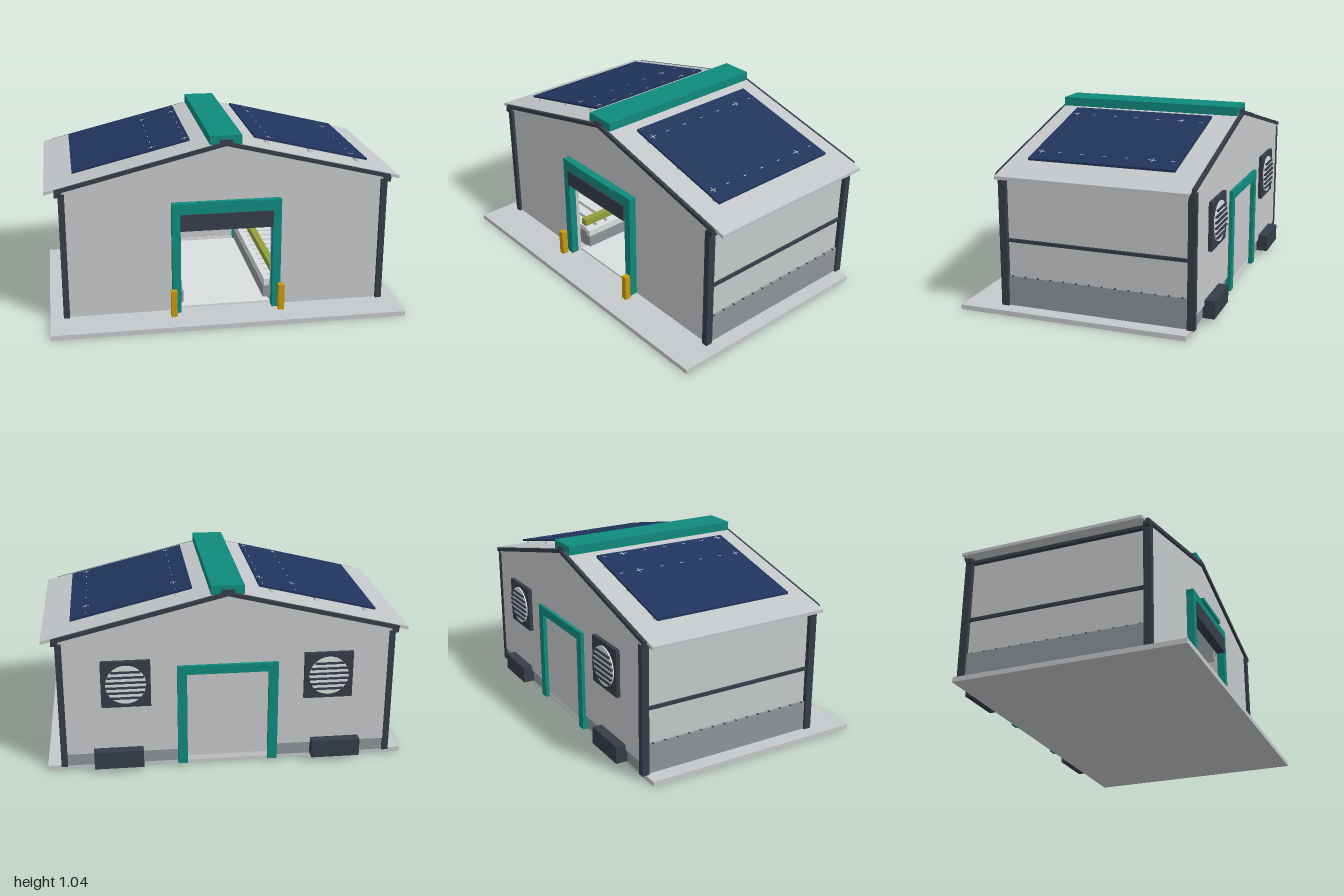
import * as THREE from 'three';

const paint = (name, color, side = THREE.FrontSide) => {
  const m = new THREE.MeshStandardMaterial({ color, side });
  m.name = name;
  return m;
};

export function createModel() {
  const model = new THREE.Group();
  model.name = 'ventilatedShed';
  const wall = paint('wall grey', 0xc6c9cb);
  const roofMat = paint('roof grey', 0xc3c7ca);
  const concrete = paint('concrete', 0x8f9598);
  const dark = paint('dark slate', 0x363d49);
  const teal = paint('teal', 0x0f8a7d);
  const navy = paint('solar navy', 0x20345c);
  const gold = paint('safety gold', 0xcb990d);
  const olive = paint('olive', 0x94a03a);
  const pale = paint('pale grey', 0xdadddf);

  const add = (name, geo, mat) => {
    const mesh = new THREE.Mesh(geo, mat);
    mesh.name = name;
    model.add(mesh);
    return mesh;
  };
  // Box given by its limits on each axis
  const box = (name, mat, x0, x1, y0, y1, z0, z1) => {
    const geo = new THREE.BoxGeometry(Math.abs(x1 - x0), y1 - y0, z1 - z0);
    geo.translate((x0 + x1) / 2, (y0 + y1) / 2, (z0 + z1) / 2);
    return add(name, geo, mat);
  };
  const shapeOf = (pts) => new THREE.Shape(pts.map(([x, y]) => new THREE.Vector2(x, y)));
  const prism = (name, mat, shape, z0, z1) => {
    const geo = new THREE.ExtrudeGeometry(shape, { depth: z1 - z0, bevelEnabled: false });
    geo.translate(0, 0, z0);
    return add(name, geo, mat);
  };
  // Strip that follows the roof pitch, raised by "lift" above the roof skin
  const roofY = (x) => 1.015 - 0.245 * Math.abs(x);
  const pitched = (name, mat, x0, x1, lift, thick, z0, z1) =>
    prism(name, mat, shapeOf([
      [x0, roofY(x0) + lift - thick], [x1, roofY(x1) + lift - thick],
      [x1, roofY(x1) + lift], [x0, roofY(x0) + lift],
    ]), z0, z1);

  // Ground slab
  box('baseSlab', wall, -1, 1, 0, 0.027, -0.605, 0.68);
  box('innerFloor', pale, -0.26, 0.26, 0.027, 0.038, -0.6, 0.43);

  // Gable walls, each with a doorway
  const gable = (name, halfDoor, doorTop, bottom, z0, z1) =>
    prism(name, wall, shapeOf([
      [-0.905, bottom], [-halfDoor, bottom], [-halfDoor, doorTop], [halfDoor, doorTop],
      [halfDoor, bottom], [0.905, bottom], [0.905, roofY(0.905) - 0.015],
      [0, roofY(0) - 0.015], [-0.905, roofY(0.905) - 0.015],
    ]), z0, z1);
  gable('frontWall', 0.262, 0.616, 0.027, 0.43, 0.452);
  gable('backWall', 0.23, 0.56, 0.1, -0.625, -0.6);
  box('backDoor', wall, -0.23, 0.23, 0.055, 0.56, -0.622, -0.605);
  box('backDoorSill', pale, -0.23, 0.23, 0.027, 0.055, -0.622, -0.6);

  // Front door surround
  box('doorHeader', teal, -0.31, 0.31, 0.615, 0.677, 0.44, 0.495);
  box('doorCap', teal, -0.16, 0.16, 0.668, 0.688, 0.49, 0.51);
  box('rollerHousing', dark, -0.262, 0.262, 0.52, 0.615, 0.45, 0.503);
  // Rear door surround
  box('rearDoorHeader', teal, -0.278, 0.278, 0.555, 0.605, -0.645, -0.62);

  // Roof ridge
  box('ridgeCap', teal, -0.09, 0.09, 0.995, 1.045, -0.61, 0.45);
  box('ridgeVent', dark, -0.035, 0.035, 0.99, 1.022, -0.62, 0.462);

  for (const s of [-1, 1]) {
    // Roof slopes, end trims and eaves
    pitched('roofPanel', roofMat, 0, s, 0, 0.018, -0.61, 0.45);
    pitched('frontRakeTrim', dark, 0, s * 0.945, -0.003, 0.022, 0.449, 0.467);
    pitched('backRakeTrim', dark, 0, s * 0.945, -0.003, 0.022, -0.628, -0.609);
    box('eaveRail', dark, s * 0.895, s * 0.925, 0.737, 0.755, -0.6, 0.45);

    // Solar array with rails and faint seams
    const px = s > 0 ? [0.18, 0.842] : [-0.842, -0.186];
    pitched('solarArray', navy, px[0], px[1], 0.034, 0.012, -0.49, 0.33);
    const seams = s > 0 ? [0.27, 0.755] : [-0.395, -0.21];
    for (const x of [0.25, 0.5, 0.78])
      pitched('arrayRail', pale, s * x, s * (x + 0.02), 0.022, 0.025, -0.48, 0.32);
    for (const x of seams) {
      for (const z of [-0.34, 0.29]) {
        pitched('seamCross', roofMat, x - 0.018, x + 0.018, 0.035, 0.002, z - 0.002, z + 0.002);
        pitched('seamCross', roofMat, x - 0.002, x + 0.002, 0.035, 0.002, z - 0.018, z + 0.018);
      }
      for (let i = 0; i < 6; i++)
        pitched('seamDash', roofMat, x - 0.002, x + 0.002, 0.035, 0.002, -0.46 + i * 0.127, -0.44 + i * 0.127);
    }

    // Corner columns
    for (const [z0, z1] of [[0.428, 0.47], [-0.628, -0.586]]) {
      box('cornerColumn', dark, s * 0.89, s * 0.925, 0.027, 0.755, z0, z1);
      box('columnCap', dark, s * 0.905, s * 0.945, 0.742, 0.772, z0 + 0.008, z1 + 0.002);
    }

    // Side wall: concrete kerb, curtain and rail
    box('sideKerb', concrete, s * 0.875, s * 0.912, 0.027, 0.195, -0.6, 0.44);
    box('sideCurtain', wall, s * 0.885, s * 0.9, 0.195, 0.76, -0.6, 0.44);
    box('sideRail', dark, s * 0.895, s * 0.913, 0.388, 0.406, -0.6, 0.44);
    for (let i = 0; i < 14; i++)
      box('kerbClip', dark, s * 0.9, s * 0.914, 0.192, 0.197, -0.56 + i * 0.074, -0.552 + i * 0.074);

    // Back kerb below the wall panel
    box('backKerb', concrete, s * 0.24, s * 0.9, 0.027, 0.1, -0.615, -0.595);

    // Door posts and guard posts
    box('doorPost', teal, s * 0.262, s * 0.31, 0.027, 0.615, 0.44, 0.495);
    box('rearDoorPost', teal, s * 0.225, s * 0.278, 0.02, 0.556, -0.645, -0.598);
    box('guardPost', gold, s * 0.29, s * 0.324, 0.027, 0.18, 0.51, 0.545);

    // Exhaust fan with louvres
    const fx = s * 0.557, fy = 0.517;
    box('fanHousing', dark, fx - 0.135, fx + 0.135, fy - 0.133, fy + 0.133, -0.647, -0.62);
    const disc = new THREE.CylinderGeometry(0.11, 0.11, 0.008, 32);
    disc.rotateX(Math.PI / 2);
    disc.translate(fx, fy, -0.65);
    add('fanDisc', disc, pale);
    for (let i = 0; i < 6; i++) {
      const dy = -0.075 + i * 0.03;
      const half = Math.sqrt(0.11 ** 2 - dy ** 2);
      box('fanLouvre', dark, fx - half, fx + half, fy + dy - 0.005, fy + dy + 0.005, -0.664, -0.653);
    }
    box('serviceBox', dark, s * 0.47, s * 0.742, 0.03, 0.13, -0.682, -0.615);

    // Raised slatted floor and feed lines inside
    box('pitWall', concrete, s * 0.235, s * 0.275, 0.027, 0.11, -0.58, 0.38);
    box('floorEdge', pale, s * 0.24, s * 0.27, 0.11, 0.15, -0.58, 0.38);
    box('pitBase', concrete, s * 0.27, s * 0.87, 0.027, 0.13, -0.58, 0.38);
    for (let i = 0; i < 12; i++)
      box('floorSlat', pale, s * 0.27, s * 0.87, 0.13, 0.148, -0.57 + i * 0.08, -0.51 + i * 0.08);
    box('feedLine', olive, s * 0.3, s * 0.34, 0.148, 0.19, -0.56, 0.36);
    box('nestLine', olive, s * 0.66, s * 0.7, 0.148, 0.23, -0.56, 0.36);
  }
  return model;
}
